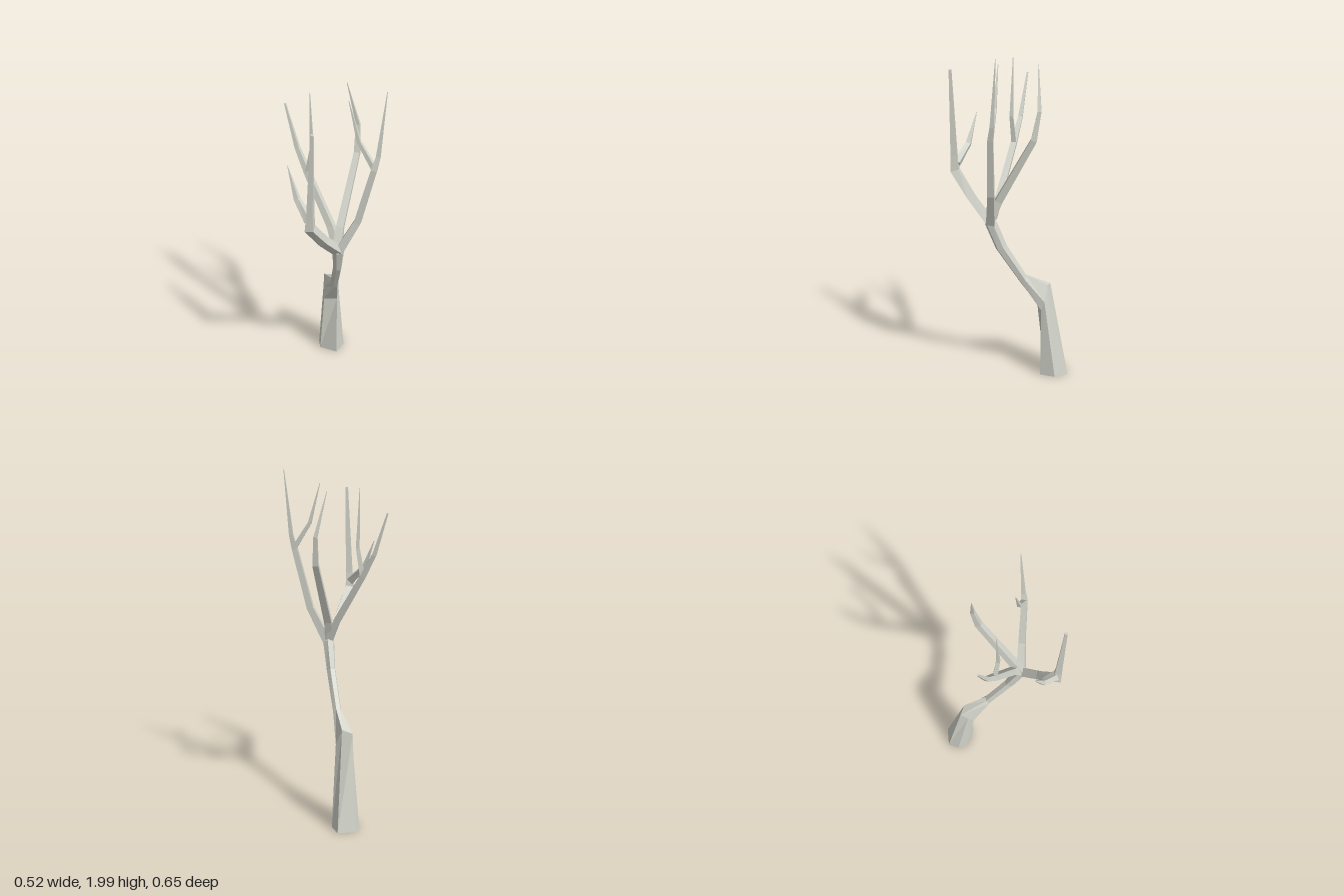
import * as THREE from 'three';

const bark = new THREE.MeshStandardMaterial({ color: 0xd4d6cc, flatShading: true });
bark.name = 'paleGreyBark';

// Skin a list of rings (counter-clockwise about the growth direction) and cap both ends
function loft(name, rings) {
  const n = rings[0].length, pos = [], idx = [];
  rings.forEach(r => r.forEach(p => pos.push(p.x, p.y, p.z)));
  for (let i = 0; i < rings.length - 1; i++) {
    for (let j = 0; j < n; j++) {
      const k = (j + 1) % n, a = i * n + j, b = i * n + k;
      idx.push(a, b, b + n, a, b + n, a + n);
    }
  }
  const top = (rings.length - 1) * n;
  for (let j = 1; j < n - 1; j++) {
    idx.push(0, j + 1, j);
    idx.push(top, top + j, top + j + 1);
  }
  let g = new THREE.BufferGeometry();
  g.setAttribute('position', new THREE.Float32BufferAttribute(pos, 3));
  g.setIndex(idx);
  g = g.toNonIndexed();
  g.computeVertexNormals();
  const mesh = new THREE.Mesh(g, bark);
  mesh.name = name;
  return mesh;
}

// Six-sided trunk with an irregular foot and knee
function trunk() {
  const foot = [[0.1, 0, -0.225], [0.09, 0, -0.31], [-0.013, 0, -0.325],
    [-0.05, 0, -0.27], [-0.05, 0, -0.21], [0.045, 0, -0.152]];
  const knee = [[0.06, 0.48, -0.17], [0.032, 0.575, -0.197], [-0.02, 0.56, -0.233],
    [-0.03, 0.5, -0.19], [-0.03, 0.43, -0.157], [0.047, 0.425, -0.154]];
  // Upper rings: centre x, y, z, half width, and the tilted depth axis (y, z)
  const rows = [
    [0.018, 0.628, -0.055, 0.025, -0.028, 0.016],
    [0.018, 0.845, 0.077, 0.026, -0.012, 0.032],
    [0.014, 1.0, 0.138, 0.034, -0.008, 0.034],
    [0.01, 1.035, 0.138, 0.022, 0, 0.024],
  ];
  const upper = rows.map(([x, y, z, w, uy, uz]) => Array.from({ length: 6 }, (_, j) => {
    const a = 0.1 + j * Math.PI / 3, s = -Math.sin(a);
    return new THREE.Vector3(x + Math.cos(a) * w, y + s * uy, z + s * uz);
  }));
  const lower = [foot, knee].map(r => r.map(p => new THREE.Vector3(...p)));
  return loft('trunk', [...lower, ...upper]);
}

// Four-sided branch: each row is x, y, z, radius
function branch(name, rows) {
  const pts = rows.map(r => new THREE.Vector3(r[0], r[1], r[2]));
  const ref = new THREE.Vector3(0, 0, 1);
  const rings = pts.map((p, i) => {
    const t = new THREE.Vector3();
    if (i > 0) t.add(p.clone().sub(pts[i - 1]).normalize());
    if (i < pts.length - 1) t.add(pts[i + 1].clone().sub(p).normalize());
    t.normalize();
    const u = t.clone().cross(ref).normalize(), v = t.clone().cross(u);
    return Array.from({ length: 4 }, (_, j) => {
      const a = 0.4 + j * Math.PI / 2;
      return p.clone().addScaledVector(u, Math.cos(a) * rows[i][3])
        .addScaledVector(v, Math.sin(a) * rows[i][3]);
    });
  });
  return loft(name, rings);
}

export function createModel() {
  const tree = new THREE.Group();
  tree.name = 'bareTree';
  tree.add(trunk());

  // Main branches and their side twigs
  const limbs = {
    frontRightBranch: [[0.01, 1.0, 0.14, 0.034], [-0.08, 1.13, 0.223, 0.033],
      [-0.16, 1.27, 0.293, 0.034], [-0.157, 1.36, 0.298, 0.025], [-0.145, 1.85, 0.314, 0.01]],
    frontRightTwig: [[-0.162, 1.31, 0.282, 0.028], [-0.215, 1.4, 0.198, 0.02],
      [-0.256, 1.57, 0.136, 0.002]],
    backRightBranch: [[0.008, 1.02, 0.125, 0.032], [-0.02, 1.13, 0.08, 0.027],
      [-0.132, 1.41, -0.045, 0.023], [-0.18, 1.54, -0.098, 0.017], [-0.235, 1.78, -0.157, 0.006]],
    backRightTwig: [[-0.132, 1.4, -0.045, 0.019], [-0.109, 1.57, -0.022, 0.014],
      [-0.115, 1.9, -0.034, 0.002]],
    backLeftBranch: [[0.01, 1.02, 0.135, 0.034], [0.03, 1.13, 0.095, 0.029],
      [0.145, 1.5, -0.07, 0.023], [0.152, 1.66, -0.098, 0.015], [0.092, 1.905, -0.111, 0.002]],
    frontLeftBranch: [[0.02, 1.0, 0.14, 0.034], [0.115, 1.2, 0.165, 0.026],
      [0.195, 1.54, 0.19, 0.022], [0.216, 1.62, 0.187, 0.016], [0.256, 1.99, 0.177, 0.002]],
    frontLeftTwig: [[0.195, 1.55, 0.187, 0.019], [0.12, 1.69, 0.142, 0.014],
      [0.07, 1.915, 0.107, 0.002]],
  };
  for (const [name, rows] of Object.entries(limbs)) tree.add(branch(name, rows));
  return tree;
}
